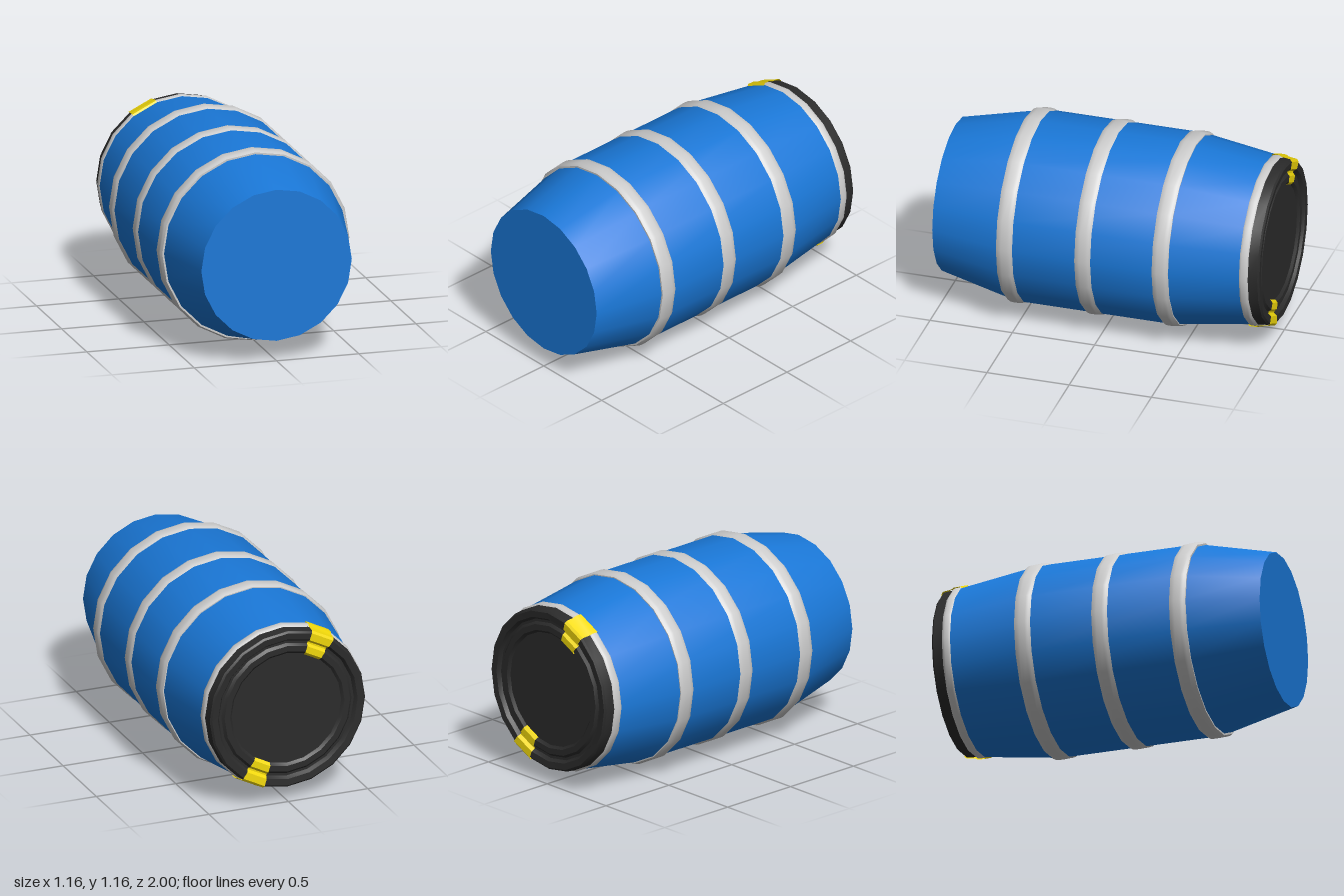
import * as THREE from 'three';
import { toCreasedNormals } from 'three/addons/utils/BufferGeometryUtils.js';

const SIDES = 20;
const FACET = (Math.PI * 2) / SIDES;

const blue = new THREE.MeshStandardMaterial({ color: 0x1a78d8 });
const grey = new THREE.MeshStandardMaterial({ color: 0xcccccc });
const dark = new THREE.MeshStandardMaterial({ color: 0x2b2b2b });
const yellow = new THREE.MeshStandardMaterial({ color: 0xf2d90a, side: THREE.DoubleSide });

// Turn a profile of [radius, z] points around the z axis
function turned(name, profile, material, start = 0, segments = SIDES) {
  const points = profile.map(([r, z]) => new THREE.Vector2(r, z));
  const lathe = new THREE.LatheGeometry(points, segments, start, segments * FACET);
  lathe.rotateX(Math.PI / 2);
  const mesh = new THREE.Mesh(toCreasedNormals(lathe, 0.6), material);
  mesh.name = name;
  return mesh;
}

// Rounded band centred on z, lapping over the body
function hoop(name, z, radius, half) {
  return turned(name, [
    [radius - 0.035, z - half],
    [radius - 0.012, z - half],
    [radius - 0.003, z - half * 0.7],
    [radius, z - half * 0.35],
    [radius, z + half * 0.35],
    [radius - 0.003, z + half * 0.7],
    [radius - 0.012, z + half],
    [radius - 0.035, z + half],
  ], grey);
}

export function createModel() {
  const barrel = new THREE.Group();
  barrel.name = 'barrel';

  // Tapered body with a flat front end
  barrel.add(turned('body', [
    [0.495, -0.92], [0.567, -0.415], [0.567, 0.53], [0.457, 1], [0, 1],
  ], blue));

  // Three wide hoops and a narrow one under the lid
  [['frontHoop', 0.53], ['middleHoop', 0.055], ['backHoop', -0.415]].forEach(([name, z]) =>
    barrel.add(hoop(name, z, 0.578, 0.05)));
  barrel.add(hoop('lidHoop', -0.9, 0.506, 0.03));

  // Lid: sunken centre, raised inner ring, groove and outer rim
  barrel.add(turned('lid', [
    [0, -0.97], [0.345, -0.97], [0.36, -0.985], [0.395, -0.985], [0.41, -0.97],
    [0.425, -0.97], [0.44, -0.992], [0.478, -0.995], [0.489, -0.985], [0.496, -0.92],
  ], dark));

  // Two opposite clips, each folded over one facet of the rim
  const clipProfile = [
    [0.342, -0.965], [0.342, -0.978], [0.358, -0.993], [0.397, -0.993], [0.412, -0.978],
    [0.422, -0.978], [0.437, -0.998], [0.481, -1], [0.495, -0.988], [0.502, -0.935],
    [0.511, -0.92], [0.512, -0.88], [0.502, -0.872],
  ];
  [['upperClip', 11], ['lowerClip', 1]].forEach(([name, facet]) =>
    barrel.add(turned(name, clipProfile, yellow, facet * FACET, 1)));

  barrel.position.y = 0.58;
  const model = new THREE.Group();
  model.name = 'lyingBarrel';
  model.add(barrel);
  return model;
}
